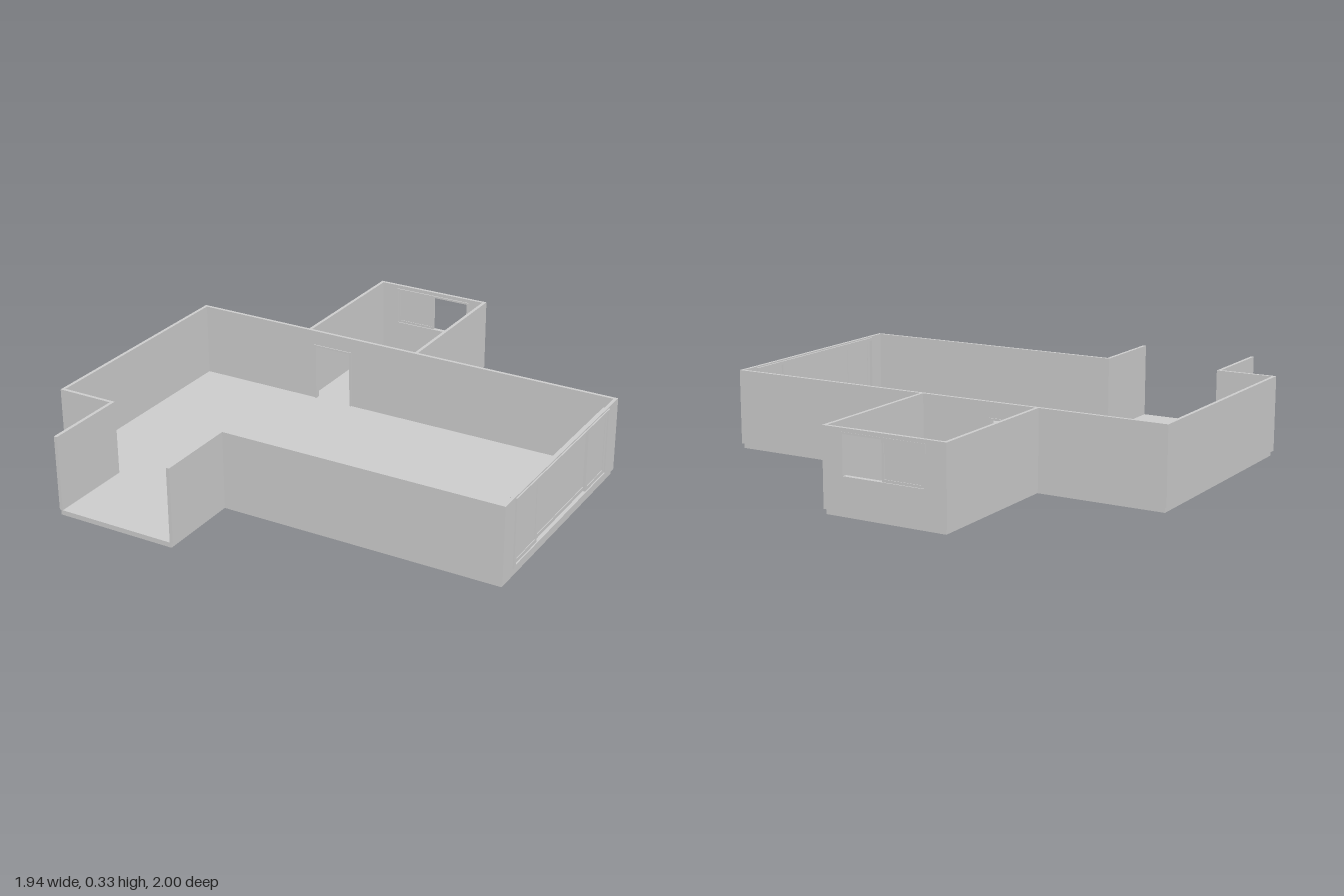
import * as THREE from 'three';

const BASE = 0.02, TOP = 0.33, T = 0.014;

const grey = new THREE.MeshStandardMaterial({ color: 0xcccccc });
const pale = new THREE.MeshStandardMaterial({ color: 0xe0e0e0 });

const rect = (a, b, lo, hi) => [[a, lo], [b, lo], [b, hi], [a, hi]];
const toPoints = (list) => list.map(([u, v]) => new THREE.Vector2(u, v));

// Upright slab from a 2D outline (u along the wall, v up), centred on its plane.
// axis 'z': u is x and the plane is z = at; axis 'x': u is z and the plane is x = at.
function panel(name, axis, at, outline, holes = [], depth = T, material = grey) {
  const shape = new THREE.Shape(toPoints(outline));
  holes.forEach((h) => shape.holes.push(new THREE.Path(toPoints(h))));
  const geo = new THREE.ExtrudeGeometry(shape, { depth, bevelEnabled: false });
  geo.translate(0, 0, -depth / 2);
  if (axis === 'x') geo.rotateY(-Math.PI / 2);
  geo.translate(axis === 'x' ? at : 0, 0, axis === 'z' ? at : 0);
  const mesh = new THREE.Mesh(geo, material);
  mesh.name = name;
  return mesh;
}

// Rectangular frame with bars of the given width
function frame(name, axis, at, [a, b, lo, hi], bar, depth) {
  return panel(name, axis, at, rect(a, b, lo, hi),
    [rect(a + bar, b - bar, lo + bar, hi - bar)], depth);
}

// Sash: slim frame holding a thin pane
function sash(name, axis, at, [a, b, lo, hi], bar, depth) {
  const g = new THREE.Group();
  g.name = name;
  g.add(frame('sashFrame', axis, at, [a, b, lo, hi], bar, depth));
  g.add(panel('pane', axis, at, rect(a + bar, b - bar, lo + bar, hi - bar), [], 0.004, pale));
  return g;
}

export function createModel() {
  const house = new THREE.Group();
  house.name = 'floorPlan';

  // Floor slab: main room, back room and front entry in one outline
  const floorOutline = [
    [-0.965, -0.352], [-0.437, -0.352], [-0.437, -0.992], [0.073, -0.992], [0.073, -0.352],
    [0.957, -0.352], [0.957, 0.648], [-0.217, 0.648], [-0.217, 1], [-0.727, 1],
    [-0.727, 0.648], [-0.965, 0.648],
  ];
  const floorGeo = new THREE.ExtrudeGeometry(
    new THREE.Shape(toPoints(floorOutline.map(([x, z]) => [x, -z]))),
    { depth: BASE, bevelEnabled: false });
  floorGeo.rotateX(-Math.PI / 2);
  const floor = new THREE.Mesh(floorGeo, grey);
  floor.name = 'floor';
  house.add(floor);

  const wall = (name, axis, at, a, b, holes) =>
    house.add(panel(name, axis, at, rect(a, b, BASE, TOP), holes));

  // Main room walls
  const bigWindow = [-0.265, 0.575, 0.04, 0.325];
  wall('rightWall', 'x', -0.967, -0.345, 0.643);
  wall('leftWindowWall', 'x', 0.957, -0.345, 0.643, [rect(...bigWindow)]);
  wall('frontWallShort', 'z', 0.65, -0.974, -0.72);
  wall('frontWallLong', 'z', 0.65, -0.224, 0.964);

  // Back wall with a doorway notch
  const door = { a: -0.41, b: -0.23, hi: 0.268 };
  house.add(panel('backWall', 'z', -0.352, [
    [-0.974, BASE], [door.a, BASE], [door.a, door.hi], [door.b, door.hi],
    [door.b, BASE], [0.964, BASE], [0.964, TOP], [-0.974, TOP],
  ]));
  house.add(panel('doorFrame', 'z', -0.352, [
    [door.a, BASE], [door.a + 0.008, BASE], [door.a + 0.008, door.hi - 0.008],
    [door.b - 0.008, door.hi - 0.008], [door.b - 0.008, BASE], [door.b, BASE],
    [door.b, door.hi], [door.a, door.hi],
  ], [], 0.022));

  // Open entry at the front
  for (const x of [-0.727, -0.217]) wall('entryWall', 'x', x, 0.657, 1);

  // Small back room
  const smallWindow = [-0.36, 0, 0.145, 0.315];
  for (const x of [-0.437, 0.073]) wall('backRoomSideWall', 'x', x, -0.985, -0.359);
  wall('backRoomEndWall', 'z', -0.992, -0.444, 0.08, [rect(...smallWindow)]);

  // Sliding window of the back room, one half left open
  house.add(frame('smallWindowFrame', 'z', -0.99, smallWindow, 0.008, 0.02));
  house.add(sash('smallWindowSash', 'z', -0.99, [-0.352, -0.172, 0.153, 0.307], 0.01, 0.01));

  // Wide window: outer frame, two side sashes and a middle one set slightly inward
  house.add(frame('wideWindowFrame', 'x', 0.956, bigWindow, 0.012, 0.028));
  for (const [a, b, x] of [[-0.253, -0.07, 0.96], [-0.09, 0.395, 0.95], [0.375, 0.563, 0.96]]) {
    house.add(sash('wideWindowSash', 'x', x, [a, b, 0.052, 0.313], 0.016, 0.01));
  }

  return house;
}
